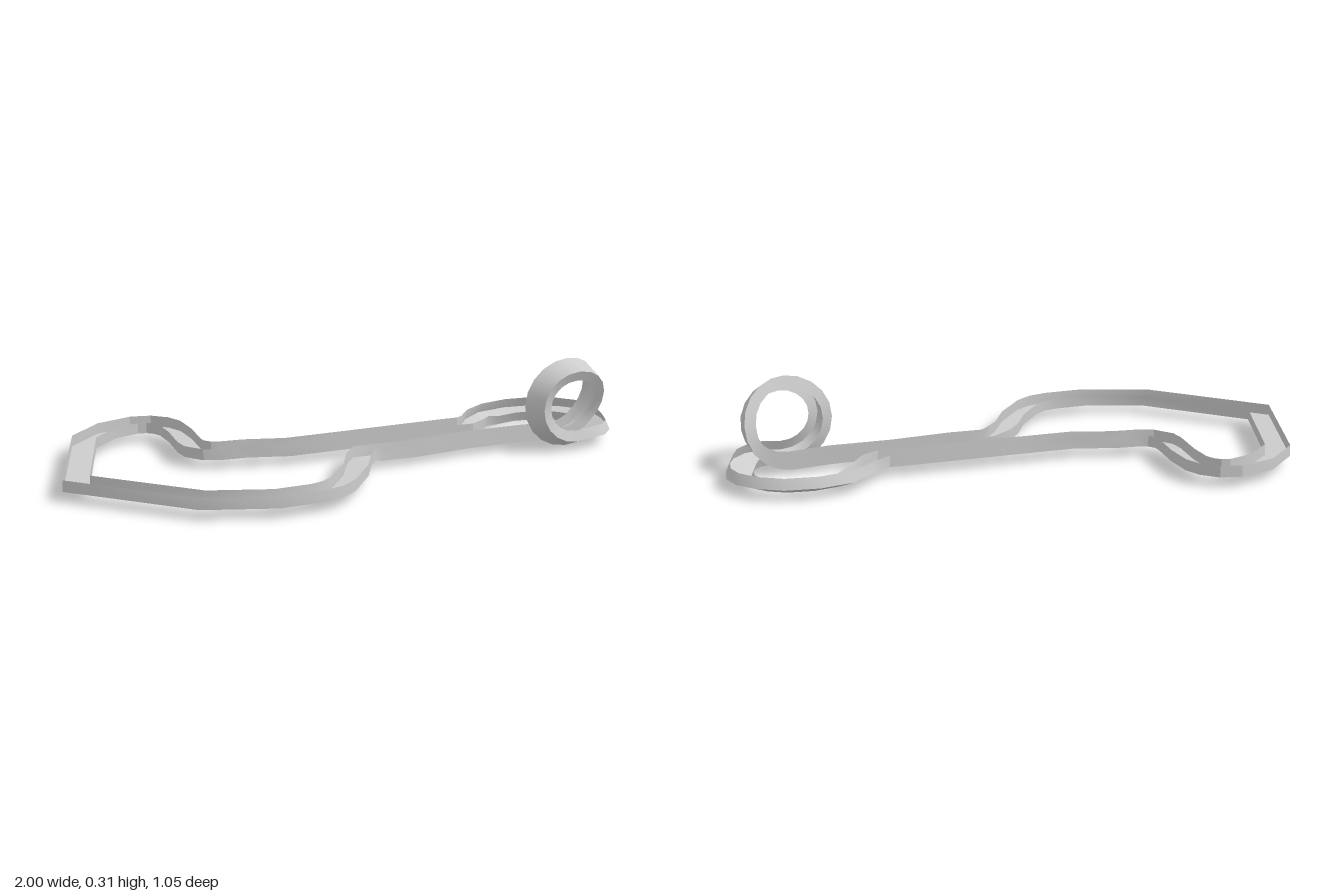
import * as THREE from 'three';
import { toCreasedNormals } from 'three/addons/utils/BufferGeometryUtils.js';

const HALF = 0.041, WALL = 0.038, BANK = 0.4;
const UP = new THREE.Vector3(0, 1, 0);

// Banked end curve after the loop: x, z
const bankedCurve = [
  [0.82, 0.238], [0.87, 0.222], [0.907, 0.185], [0.93, 0.13], [0.953, 0.06], [0.963, -0.005],
  [0.95, -0.055], [0.91, -0.105], [0.84, -0.148], [0.74, -0.162], [0.64, -0.143],
];
// Flat circuit back to the loop entry: x, z
const flatTrack = [
  [0.56, -0.078], [0.515, -0.025], [0.475, -0.003], [0.4, -0.008], [0, -0.014], [-0.19, -0.018],
  [-0.33, -0.062], [-0.41, -0.071], [-0.455, -0.088], [-0.485, -0.13], [-0.488, -0.17],
  [-0.475, -0.3], [-0.477, -0.4], [-0.495, -0.445], [-0.53, -0.478], [-0.58, -0.49],
  [-0.69, -0.46], [-0.8, -0.36], [-0.955, 0.08], [-0.65, 0.4], [-0.435, 0.481], [-0.3, 0.48],
  [-0.24, 0.465], [-0.19, 0.43], [-0.09, 0.31], [-0.03, 0.205], [0.01, 0.157], [0.06, 0.136],
  [0.19, 0.141], [0.4, 0.126], [0.62, 0.132],
];

// Stations along the centre line: position, floor normal and bank angle
function stations() {
  const list = [];
  const add = (x, y, z, normal, bank) => list.push({ p: new THREE.Vector3(x, y, z), normal, bank });
  bankedCurve.forEach(([x, z]) => add(x, 0.018, z, UP, BANK));
  flatTrack.forEach(([x, z], i) => {
    const y = x > 0.05 && z > 0.1 ? 0.018 : 0.028;
    add(x, y, z, UP, i === 0 ? 0.2 : 0.03);
  });
  // Vertical loop, drifting sideways while it climbs
  const steps = 20;
  for (let i = 0; i <= steps; i++) {
    const t = i / steps, a = t * Math.PI * 2;
    const z = 0.13 + 0.108 * THREE.MathUtils.smoothstep(t, 0.12, 0.52);
    const bank = BANK * THREE.MathUtils.smoothstep(t, 0.2, 0.5);
    add(0.763 + 0.149 * Math.sin(a), 0.152 - 0.14 * Math.cos(a), z,
      new THREE.Vector3(-Math.sin(a), Math.cos(a), 0), bank);
  }
  return list;
}

// Mitred channel edges at every station
function channelEdges(list) {
  const n = list.length;
  const edges = { floorLeft: [], floorRight: [], topLeft: [], topRight: [] };
  list.forEach(({ p, normal, bank }, i) => {
    const d1 = p.clone().sub(list[(i + n - 1) % n].p).normalize();
    const d2 = list[(i + 1) % n].p.clone().sub(p).normalize();
    const t = d1.clone().add(d2).normalize();
    const up = normal.clone().addScaledVector(t, -normal.dot(t)).normalize();
    const side = t.clone().cross(up);
    const miter = Math.min(1.5, 1 / side.dot(d1.clone().cross(up).normalize()));
    const right = side.clone().multiplyScalar(HALF * miter * Math.cos(bank))
      .addScaledVector(up, HALF * Math.sin(bank));
    const rise = up.clone().multiplyScalar(WALL * Math.cos(bank))
      .addScaledVector(side, -WALL * Math.sin(bank));
    const l = p.clone().sub(right), r = p.clone().add(right);
    edges.floorLeft.push(l);
    edges.floorRight.push(r);
    edges.topLeft.push(l.clone().add(rise));
    edges.topRight.push(r.clone().add(rise));
  });
  return edges;
}

// Closed strip between two edges
function strip(name, a, b, material) {
  const n = a.length, index = [];
  for (let i = 0; i < n; i++) {
    const j = (i + 1) % n;
    index.push(i, i + n, j, j, i + n, j + n);
  }
  const geometry = new THREE.BufferGeometry().setFromPoints([...a, ...b]);
  geometry.setIndex(index);
  const mesh = new THREE.Mesh(toCreasedNormals(geometry, 0.5), material);
  mesh.name = name;
  return mesh;
}

export function createModel() {
  const model = new THREE.Group();
  model.name = 'raceTrack';
  const material = new THREE.MeshStandardMaterial({ color: 0xcccccc, side: THREE.DoubleSide });
  const e = channelEdges(stations());
  model.add(
    strip('trackFloor', e.floorLeft, e.floorRight, material),
    strip('leftWall', e.topLeft, e.floorLeft, material),
    strip('rightWall', e.floorRight, e.topRight, material),
  );
  return model;
}
